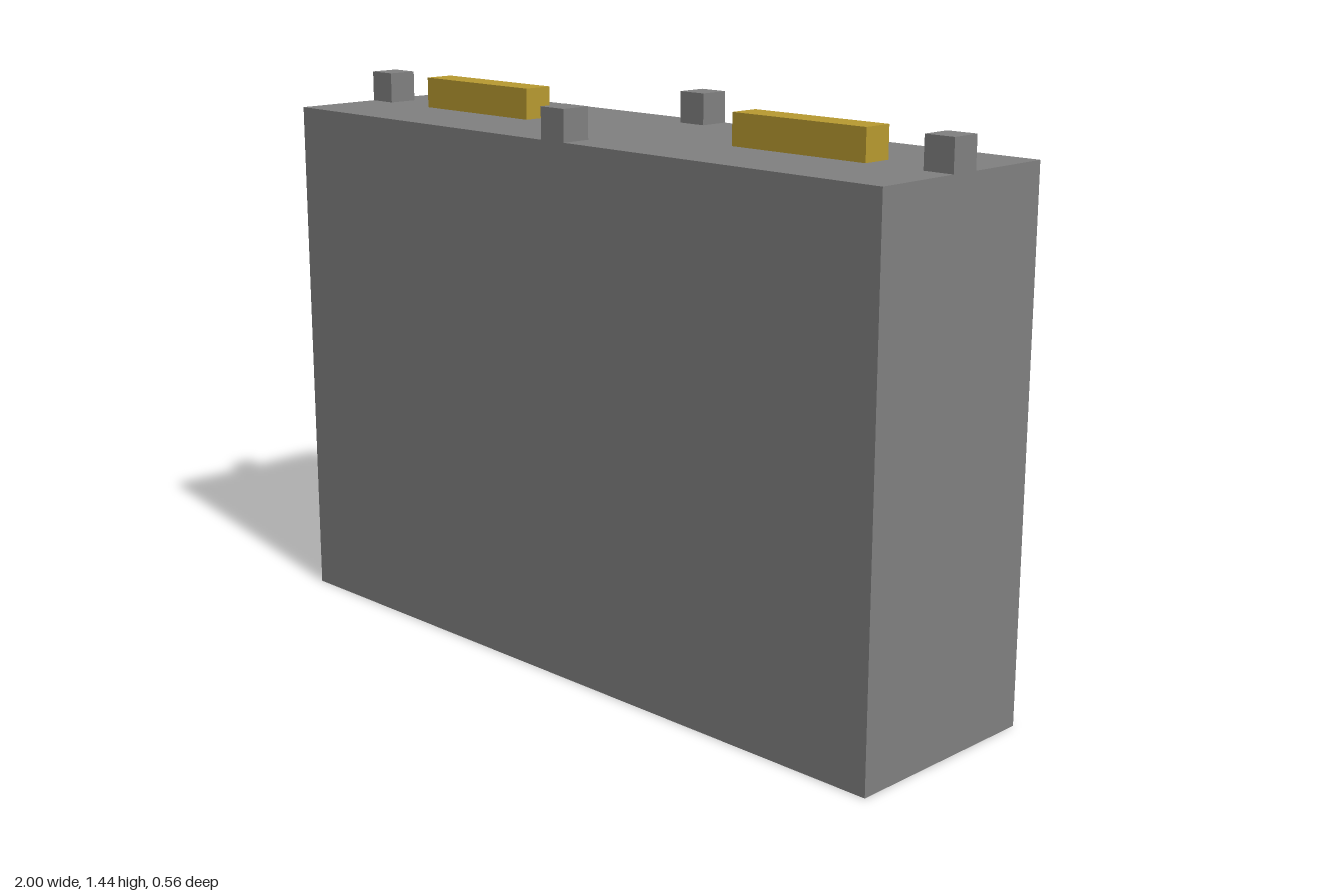
import * as THREE from 'three';

export function createModel() {
  const model = new THREE.Group();
  const grey = new THREE.MeshStandardMaterial({ name: 'grey', color: 0x808080 });
  const gold = new THREE.MeshStandardMaterial({ name: 'gold', color: 0xb89a30 });

  const WIDTH = 2, HEIGHT = 1.36, DEPTH = 0.56, STUD = 0.08;

  // Box whose base rests at height y
  function addBox(name, material, [w, h, d], [x, y, z]) {
    const mesh = new THREE.Mesh(new THREE.BoxGeometry(w, h, d), material);
    mesh.name = name;
    mesh.position.set(x, y + h / 2, z);
    model.add(mesh);
  }

  // Main block
  addBox('body', grey, [WIDTH, HEIGHT, DEPTH], [0, 0, 0]);

  for (const s of [-1, 1]) {
    const side = s > 0 ? 'left' : 'right';
    const face = s > 0 ? 'front' : 'back';
    // Studs flush with the middle of each edge
    addBox(`${side}Stud`, grey, [STUD, STUD, STUD], [s * (WIDTH - STUD) / 2, HEIGHT, 0]);
    addBox(`${face}Stud`, grey, [STUD, STUD, STUD], [0, HEIGHT, s * (DEPTH - STUD) / 2]);
    // Raised contact bars
    addBox(`${side}ContactBar`, gold, [0.4, STUD, STUD], [s * 0.56, HEIGHT, 0]);
  }
  return model;
}
